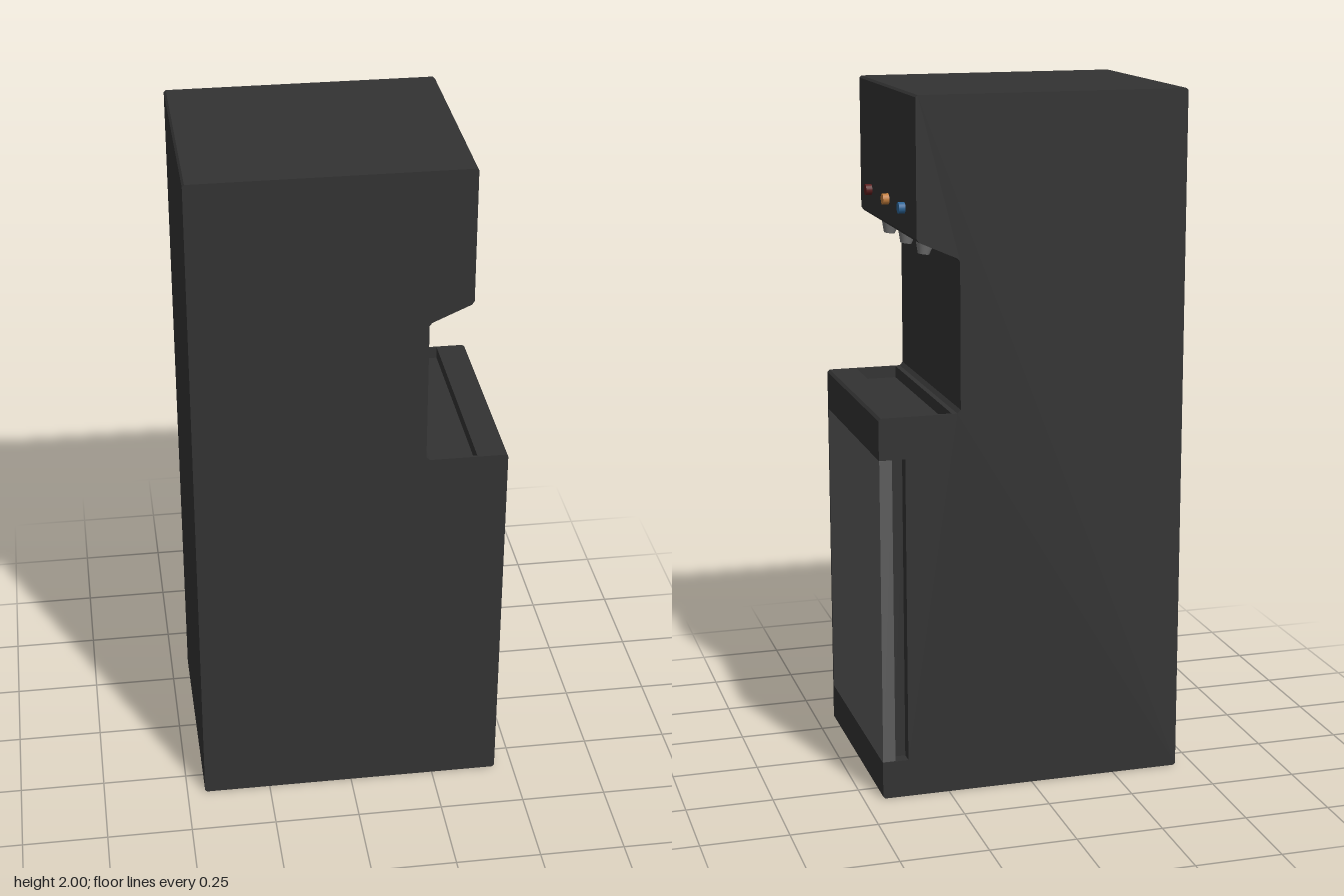
import * as THREE from 'three';

const W = 0.332; // half width in z
const SKIN = 0.325; // inner limit of the cut-outs

// Side profile of the cabinet in x/y, with optional tray recess and front pocket
function profile(tray, pocketX) {
  const p = [[-0.447, 0.006], [-0.441, 0], [0.439, 0], [0.445, 0.006]];
  if (pocketX) p.push([0.445, 0.11], [pocketX, 0.11], [pocketX, 1.0], [0.445, 1.0]);
  p.push([0.445, 1.113], [0.438, 1.12]);
  if (tray) p.push([0.357, 1.12], [0.357, 1.085], [0.235, 1.085], [0.235, 1.12]);
  p.push([0.22, 1.12], [0.21, 1.13], [0.21, 1.545], [0.217, 1.554],
    [0.325, 1.602], [0.332, 1.612], [0.332, 1.994], [0.326, 2], [-0.441, 2], [-0.447, 1.994]);
  return new THREE.Shape(p.map(([x, y]) => new THREE.Vector2(x, y)));
}

function mesh(name, geometry, color, parent) {
  const m = new THREE.Mesh(geometry, new THREE.MeshStandardMaterial({ color }));
  m.name = name;
  parent.add(m);
  return m;
}

export function createModel() {
  const model = new THREE.Group();
  model.name = 'waterDispenser';
  const dark = 0x333333;

  // Cabinet: slices across the width, so the tray, door pocket and grip slot are real recesses
  const cabinet = new THREE.Group();
  cabinet.name = 'cabinet';
  model.add(cabinet);
  const slices = [
    ['leftGripSide', -W, -SKIN, false, 0.37],
    ['gripSlot', -SKIN, -0.295, true, 0.37],
    ['cabinetCore', -0.295, SKIN, true, 0.408],
    ['cabinetSide', SKIN, W, false, 0],
  ];
  slices[0][0] = 'gripSide';
  for (const [name, z0, z1, tray, pocketX] of slices) {
    const g = new THREE.ExtrudeGeometry(profile(tray, pocketX), { depth: z1 - z0, bevelEnabled: false });
    mesh(name, g, dark, cabinet).position.z = z0;
  }

  // Door panel, standing clear of the grip slot behind its free edge
  const door = mesh('door', new THREE.BoxGeometry(0.036, 0.888, W + SKIN - 0.001), 0x5c5c5c, model);
  door.position.set(0.426, 0.555, (SKIN - W) / 2);

  // Buttons on the head
  [[0.2, 0x5a1c1c], [-0.01, 0xc07c3c], [-0.197, 0x2c6496]].forEach(([z, color], i) => {
    const b = mesh('button' + (i + 1), new THREE.CylinderGeometry(0.016, 0.016, 0.03, 20), color, model);
    b.rotation.z = -Math.PI / 2;
    b.position.set(0.335, 1.68, z);
  });

  // Tapered spouts under the sloping head
  [0.195, -0.005, -0.205].forEach((z, i) => {
    const s = mesh('spout' + (i + 1), new THREE.CylinderGeometry(0.03, 0.016, 0.045, 24), 0x777777, model);
    s.position.set(0.277, 1.573, z);
    s.rotation.z = 0.15;
  });

  return model;
}
